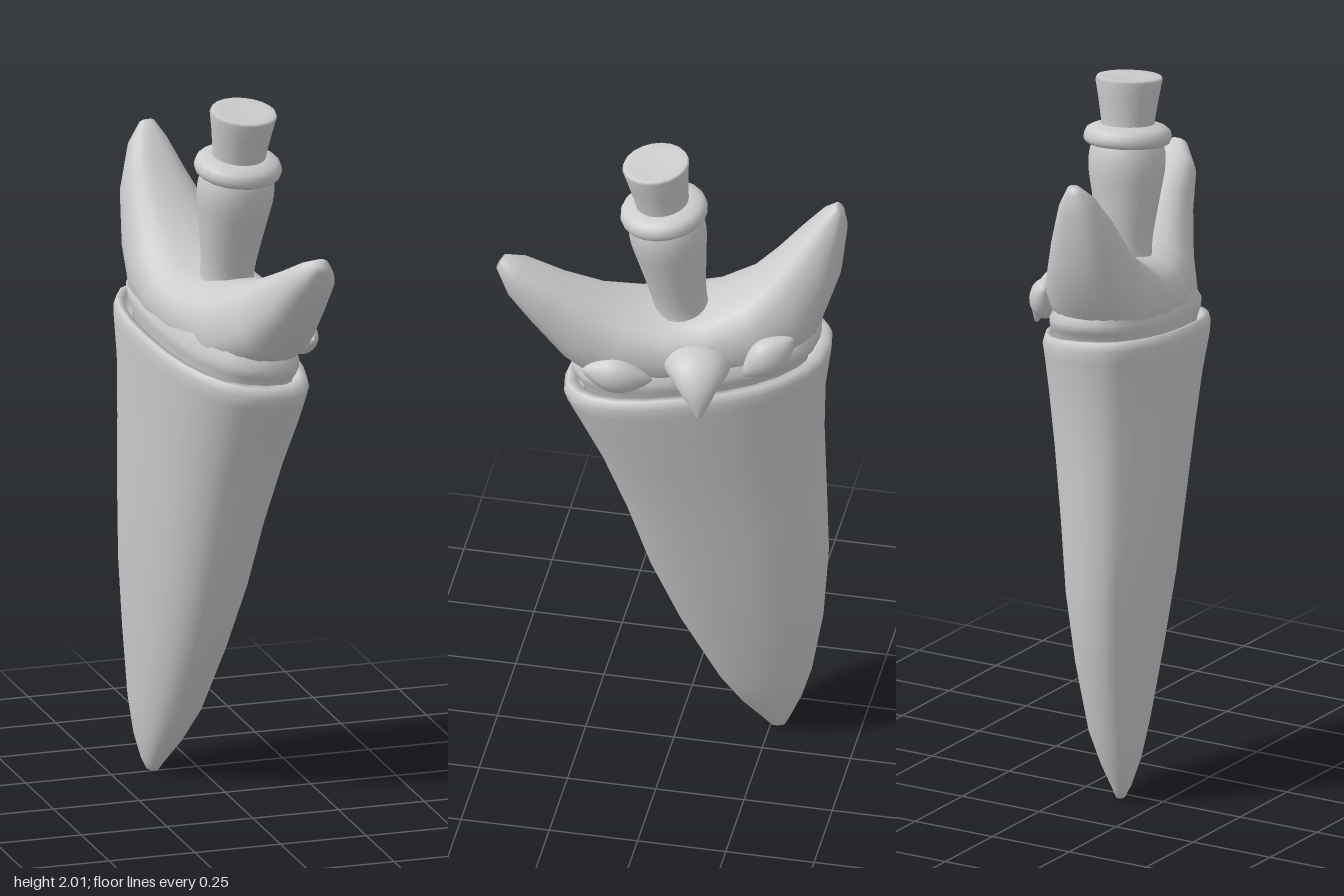
import * as THREE from 'three';

const SEG = 24;

// Skins a list of equally sized rings and closes both ends
function loft(rings) {
  const n = rings[0].length, pos = [], idx = [];
  rings.forEach(r => r.forEach(p => pos.push(p.x, p.y, p.z)));
  for (let i = 0; i < rings.length - 1; i++) {
    for (let j = 0; j < n; j++) {
      const a = i * n + j, b = i * n + (j + 1) % n, c = a + n, d = b + n;
      idx.push(a, c, b, b, c, d);
    }
  }
  [0, rings.length - 1].forEach(k => {
    const mid = new THREE.Vector3();
    rings[k].forEach(p => mid.addScaledVector(p, 1 / n));
    const m = pos.length / 3;
    pos.push(mid.x, mid.y, mid.z);
    for (let j = 0; j < n; j++) {
      const a = k * n + j, b = k * n + (j + 1) % n;
      if (k === 0) idx.push(m, a, b); else idx.push(m, b, a);
    }
  });
  const g = new THREE.BufferGeometry();
  g.setAttribute('position', new THREE.Float32BufferAttribute(pos, 3));
  g.setIndex(idx);
  g.computeVertexNormals();
  return g;
}

const soft = (v, e) => Math.sign(v) * Math.abs(v) ** e;

function ring(fn) {
  return Array.from({ length: SEG }, (_, j) => {
    const t = j / SEG * Math.PI * 2;
    return fn(Math.cos(t), Math.sin(t));
  });
}

// Skewed, squarish oval lying inside the box x0..x1, z0..z1; tilt slopes the mouth
function oval(y, x0, x1, z0, z1, tilt) {
  const cx = (x0 + x1) / 2, cz = (z0 + z1) / 2, hx = (x1 - x0) / 2, hz = (z1 - z0) / 2;
  return ring((c, s) => {
    const w = soft(s, 0.85);
    const x = cx + hx * (0.87 * soft(c, 0.8) + 0.26 * w), z = cz + hz * w;
    return new THREE.Vector3(x, y - tilt * (0.14 * (z + 0.06) + 0.1 * (x + 0.02)), z);
  });
}

export function createModel() {
  const model = new THREE.Group();
  const material = new THREE.MeshStandardMaterial({ color: 0xcccccc });
  const add = (name, geometry) => {
    const m = new THREE.Mesh(geometry, material);
    m.name = name;
    model.add(m);
    return m;
  };

  // Tapering sheath with a rounded, slanted lip: y, x0, x1, z0, z1, tilt
  add('sheath', loft([
    [0.0, -0.14, -0.11, -0.29, -0.25, 0],
    [0.03, -0.155, -0.095, -0.305, -0.225, 0],
    [0.1, -0.175, -0.055, -0.335, -0.17, 0],
    [0.2, -0.19, -0.01, -0.365, -0.11, 0],
    [0.4, -0.205, 0.04, -0.4, -0.01, 0],
    [0.6, -0.22, 0.085, -0.415, 0.07, 0],
    [0.8, -0.23, 0.12, -0.41, 0.13, 0.1],
    [1.0, -0.237, 0.16, -0.405, 0.195, 0.4],
    [1.15, -0.242, 0.19, -0.41, 0.25, 0.8],
    [1.25, -0.25, 0.206, -0.425, 0.29, 1],
    [1.285, -0.25, 0.212, -0.43, 0.3, 1],
    [1.31, -0.243, 0.203, -0.42, 0.29, 1],
    [1.31, -0.225, 0.185, -0.395, 0.265, 1],
    [1.26, -0.215, 0.175, -0.385, 0.255, 1],
  ].map(r => oval(...r))));

  // Collar between the sheath and the guard
  add('collar', loft([
    [1.22, -0.2, 0.16, -0.36, 0.24, 1],
    [1.3, -0.205, 0.17, -0.37, 0.25, 1],
    [1.33, -0.215, 0.185, -0.4, 0.27, 1],
    [1.355, -0.215, 0.185, -0.405, 0.275, 1],
    [1.375, -0.2, 0.175, -0.395, 0.265, 1],
    [1.42, -0.19, 0.155, -0.375, 0.24, 1],
    [1.47, -0.15, 0.11, -0.31, 0.18, 1],
  ].map(r => oval(...r))));

  // Crescent guard with two horns: lower z, y, upper z, y, centre x, half width
  add('hornedGuard', loft([
    [0.475, 1.64, 0.45, 1.675, 0.13, 0.025],
    [0.44, 1.56, 0.4, 1.655, 0.118, 0.065],
    [0.38, 1.47, 0.29, 1.6, 0.1, 0.085],
    [0.29, 1.35, 0.19, 1.55, 0.07, 0.115],
    [0.2, 1.28, 0.09, 1.515, 0.035, 0.15],
    [0.0, 1.28, 0.0, 1.5, 0.0, 0.17],
    [-0.15, 1.3, -0.1, 1.515, -0.025, 0.17],
    [-0.3, 1.33, -0.2, 1.575, -0.045, 0.155],
    [-0.4, 1.43, -0.27, 1.65, -0.06, 0.13],
    [-0.455, 1.6, -0.34, 1.73, -0.08, 0.095],
    [-0.472, 1.75, -0.4, 1.8, -0.085, 0.055],
    [-0.465, 1.81, -0.44, 1.835, -0.082, 0.022],
  ].map(([lz, ly, uz, uy, cx, hw]) => ring((c, s) => {
    const k = (soft(s, 0.85) + 1) / 2;
    return new THREE.Vector3(cx + hw * soft(c, 0.85), ly + (uy - ly) * k, lz + (uz - lz) * k);
  }))));

  // Grip with ring and flared pommel, leaning slightly forward
  const profile = (pts, n) => new THREE.SplineCurve(pts.map(p => new THREE.Vector2(...p))).getPoints(n);
  const grip = new THREE.Group();
  grip.name = 'handle';
  grip.position.set(0.01, 1.45, -0.03);
  grip.quaternion.setFromUnitVectors(new THREE.Vector3(0, 1, 0),
    new THREE.Vector3(0.03, 0.545, 0.075).normalize());
  model.add(grip);
  const turned = {
    grip: profile([[0.085, 0], [0.075, 0.07], [0.093, 0.2], [0.107, 0.29], [0.103, 0.35], [0.08, 0.41]], 16),
    gripRing: profile([[0.09, 0.355], [0.115, 0.36], [0.123, 0.378], [0.115, 0.4], [0.09, 0.412], [0.07, 0.415]], 12),
    pommel: [[0.074, 0.4], [0.076, 0.43], [0.085, 0.49], [0.094, 0.54], [0.09, 0.548], [0.07, 0.545], [0, 0.542]]
      .map(p => new THREE.Vector2(...p)),
  };
  for (const [name, pts] of Object.entries(turned)) {
    const m = add(name, new THREE.LatheGeometry(pts, 20));
    grip.add(m);
  }

  // Almond eyes on the face side: position, half length, half height, tilt, yaw
  [
    ['frontEye', [0.178, 1.352, 0.125], 0.098, 0.054, -0.12, 0.12],
    ['backEye', [0.108, 1.425, -0.29], 0.088, 0.056, 0.6, 0.45],
  ].forEach(([name, at, len, high, tilt, yaw]) => {
    const g = new THREE.SphereGeometry(1, 20, 14);
    const p = g.attributes.position;
    for (let i = 0; i < p.count; i++) {
      const u = p.getX(i), f = 1 - 0.5 * u * u;
      p.setXYZ(i, u * len, p.getY(i) * f * high, p.getZ(i) * f * 0.045);
    }
    g.computeVertexNormals();
    g.rotateZ(tilt).rotateY(Math.PI / 2 + yaw);
    add(name, g).position.set(...at);
  });

  // Hooked beak: x, y, z, half width, half depth, downward bend
  add('beak', loft([
    [0.08, 1.39, -0.08, 0.11, 0.075, 0],
    [0.15, 1.39, -0.09, 0.095, 0.06, 0.1],
    [0.19, 1.385, -0.1, 0.078, 0.052, 0.45],
    [0.217, 1.36, -0.108, 0.055, 0.038, 0.9],
    [0.232, 1.325, -0.115, 0.032, 0.022, 1.2],
    [0.24, 1.285, -0.12, 0.006, 0.005, 1.4],
  ].map(([x, y, z, w, d, bend]) => ring((c, s) => new THREE.Vector3(
    x + d * s * Math.sin(bend), y + d * s * Math.cos(bend), z + w * c)))));

  return model;
}
